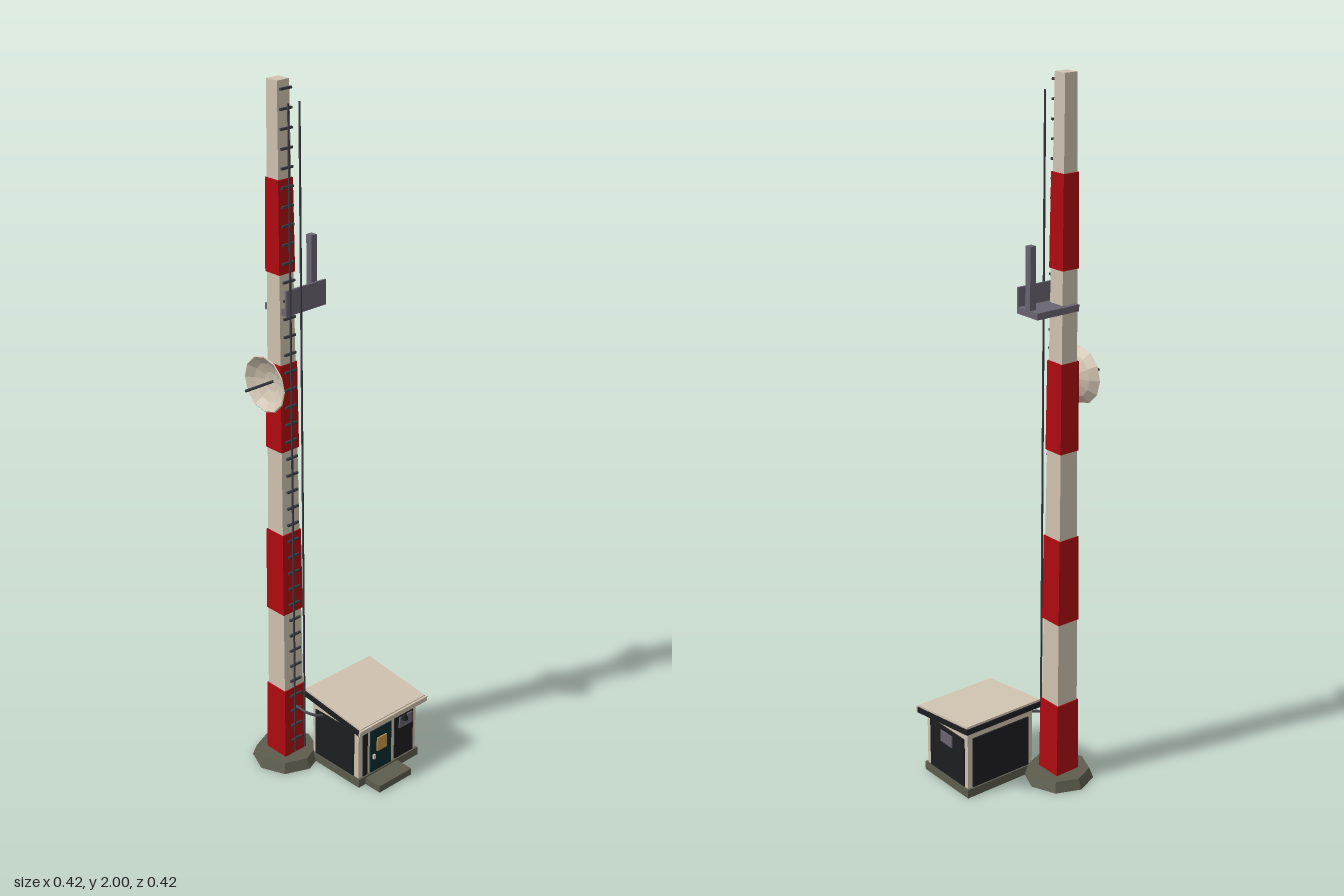
import * as THREE from 'three';

const mat = (name, color) => {
  const m = new THREE.MeshStandardMaterial({ color });
  m.name = name;
  return m;
};

// Faceted normals for low-poly parts
const flat = (geo) => {
  const g = geo.index ? geo.toNonIndexed() : geo;
  g.computeVertexNormals();
  return g;
};

export function createModel() {
  const cream = mat('cream', 0xd0c3b0);
  const red = mat('red', 0xae0b10);
  const steel = mat('steel', 0x6a6472);
  const concrete = mat('concrete', 0x5d5c4e);
  const black = mat('black', 0x1d1e20);
  const teal = mat('teal', 0x0b2b2e);
  const amber = mat('amber', 0xc9954c);
  const iron = mat('iron', 0x3b3e44);

  const model = new THREE.Group();
  model.name = 'radioMast';
  const group = (name, parent = model) => {
    const g = new THREE.Group();
    g.name = name;
    parent.add(g);
    return g;
  };
  const add = (parent, name, geo, material, x = 0, y = 0, z = 0) => {
    const m = new THREE.Mesh(geo, material);
    m.name = name;
    m.position.set(x, y, z);
    parent.add(m);
    return m;
  };
  // Box given by its lower and upper limits on each axis
  const box = (parent, name, material, x0, x1, y0, y1, z0, z1) =>
    add(parent, name, new THREE.BoxGeometry(x1 - x0, y1 - y0, z1 - z0), material,
      (x0 + x1) / 2, (y0 + y1) / 2, (z0 + z1) / 2);

  // ---- Tower: eight tapering square bands on an octagonal foundation ----
  const TX = -0.086, TZ = -0.112;
  const half = (y) => 0.037 - 0.0085 * y;
  const tower = group('tower');
  add(tower, 'foundation', flat(new THREE.CylinderGeometry(0.088, 0.1, 0.03, 8)), concrete, TX, 0.015, TZ);
  for (let i = 0; i < 8; i++) {
    const y0 = i ? i * 0.25 : 0.03, y1 = (i + 1) * 0.25;
    const extra = i % 2 ? 0 : 0.003;
    const geo = new THREE.CylinderGeometry((half(y1) + extra) * Math.SQRT2, (half(y0) + extra) * Math.SQRT2, y1 - y0, 4);
    geo.rotateY(Math.PI / 4);
    add(tower, i % 2 ? 'creamBand' : 'redBand', flat(geo), i % 2 ? cream : red, TX, (y0 + y1) / 2, TZ);
  }

  // ---- Ladder: upright rails, rungs following the taper ----
  const ladder = group('ladder');
  for (const s of [-1, 1]) {
    const x = TX + s * 0.0185;
    box(ladder, 'ladderRail', iron, x - 0.002, x + 0.002, 0.05, 1.95, -0.055, -0.051);
  }
  for (let y = 0.08; y < 1.99; y += 0.05) {
    const z = TZ + half(y) + 0.009;
    box(ladder, 'ladderRung', iron, TX - 0.0195, TX + 0.0195, y - 0.003, y + 0.003, z - 0.003, z + 0.003);
  }

  // ---- Dish facing -x with its feed rod ----
  const dish = group('dish');
  const profile = [[0, 0], [0.03, 0.005], [0.058, 0.017], [0.08, 0.034], [0.077, 0.036], [0.055, 0.02], [0.028, 0.009], [0, 0.005]]
    .map(([r, h]) => new THREE.Vector2(r, h));
  add(dish, 'dishBowl', flat(new THREE.LatheGeometry(profile, 12)), cream);
  add(dish, 'feedRod', new THREE.CylinderGeometry(0.004, 0.004, 0.095, 8), iron, 0, 0.0525, 0);
  dish.rotation.z = Math.PI / 2;
  dish.position.set(-0.112, 1.2, TZ);

  // ---- Side platform with front panel and post ----
  const platform = group('platform');
  box(platform, 'platformDeck', steel, -0.105, 0.034, 1.39, 1.408, -0.152, -0.07);
  box(platform, 'platformPanel', steel, -0.105, 0.034, 1.39, 1.46, -0.074, -0.068);
  box(platform, 'platformPost', steel, 0.015, 0.034, 1.408, 1.575, -0.122, -0.102);

  // ---- Hut ----
  const hut = group('hut');
  box(hut, 'hutBase', concrete, -0.047, 0.193, 0, 0.026, -0.05, 0.153);
  box(hut, 'doorStep', concrete, -0.02, 0.108, 0, 0.021, 0.15, 0.21);

  // Walls with a sloping top, extruded across x
  const X0 = -0.042, X1 = 0.188, Z0 = -0.044, Z1 = 0.146;
  const side = new THREE.Shape();
  side.moveTo(-Z1, 0.026);
  side.lineTo(-Z0, 0.026);
  side.lineTo(-Z0, 0.211);
  side.lineTo(-Z1, 0.187);
  const walls = new THREE.ExtrudeGeometry(side, { depth: X1 - X0, bevelEnabled: false });
  walls.rotateY(Math.PI / 2);
  add(hut, 'walls', walls, cream, X0, 0, 0);

  // Dark wall panels between the corner posts
  const T = 0.004;
  box(hut, 'rightWallPanel', black, X1 - 0.001, X1 + T, 0.028, 0.178, Z0 + 0.014, Z1 - 0.018);
  box(hut, 'leftWallPanel', black, X0 - T, X0 + 0.001, 0.028, 0.178, Z0 + 0.014, Z1 - 0.018);
  box(hut, 'backWallPanel', black, X0 + 0.016, X1 - 0.016, 0.028, 0.182, Z0 - T, Z0 + 0.001);
  box(hut, 'frontLeftPanel', black, 0.1, 0.174, 0.028, 0.178, Z1 - 0.001, Z1 + T);
  box(hut, 'frontRightPanel', black, -0.027, -0.01, 0.028, 0.178, Z1 - 0.001, Z1 + T);
  box(hut, 'sideVent', steel, X1 + T, X1 + 0.008, 0.13, 0.165, 0.022, 0.074);
  box(hut, 'frontVent', steel, 0.115, 0.168, 0.128, 0.163, Z1 + T, Z1 + 0.008);

  // Door with window and handle
  box(hut, 'door', teal, 0.002, 0.084, 0.027, 0.167, Z1 - 0.001, Z1 + 0.005);
  box(hut, 'doorWindow', amber, 0.025, 0.062, 0.092, 0.136, Z1 + 0.005, Z1 + 0.009);
  box(hut, 'doorHandle', cream, 0.009, 0.017, 0.072, 0.086, Z1 + 0.005, Z1 + 0.011);

  // Wall lamp
  const lamp = add(hut, 'wallLamp', flat(new THREE.CylinderGeometry(0.006, 0.011, 0.016, 8)), black, 0.122, 0.171, 0.166);
  box(hut, 'lampArm', black, 0.119, 0.125, 0.172, 0.177, Z1, lamp.position.z);

  // Sloping roof: dark slab, inset cream sheet and front fascia
  const roof = group('roof', hut);
  box(roof, 'roofSlab', black, -0.135, 0.135, -0.009, 0.006, -0.121, 0.117);
  box(roof, 'roofSheet', cream, -0.13, 0.13, 0.006, 0.012, -0.116, 0.115);
  box(roof, 'roofFascia', cream, -0.135, 0.135, -0.008, 0.009, 0.115, 0.121);
  roof.position.set(0.075, 0.21, 0.05);
  roof.rotation.x = 0.125;

  // Cable pipe from the tower to the hut
  const path = new THREE.CatmullRomCurve3([
    new THREE.Vector3(TX + 0.005, 0.185, TZ + 0.035),
    new THREE.Vector3(-0.075, 0.178, -0.035),
    new THREE.Vector3(-0.058, 0.172, -0.01),
    new THREE.Vector3(X0, 0.172, 0.002),
  ]);
  add(model, 'cablePipe', new THREE.TubeGeometry(path, 12, 0.004, 6), iron);

  return model;
}
